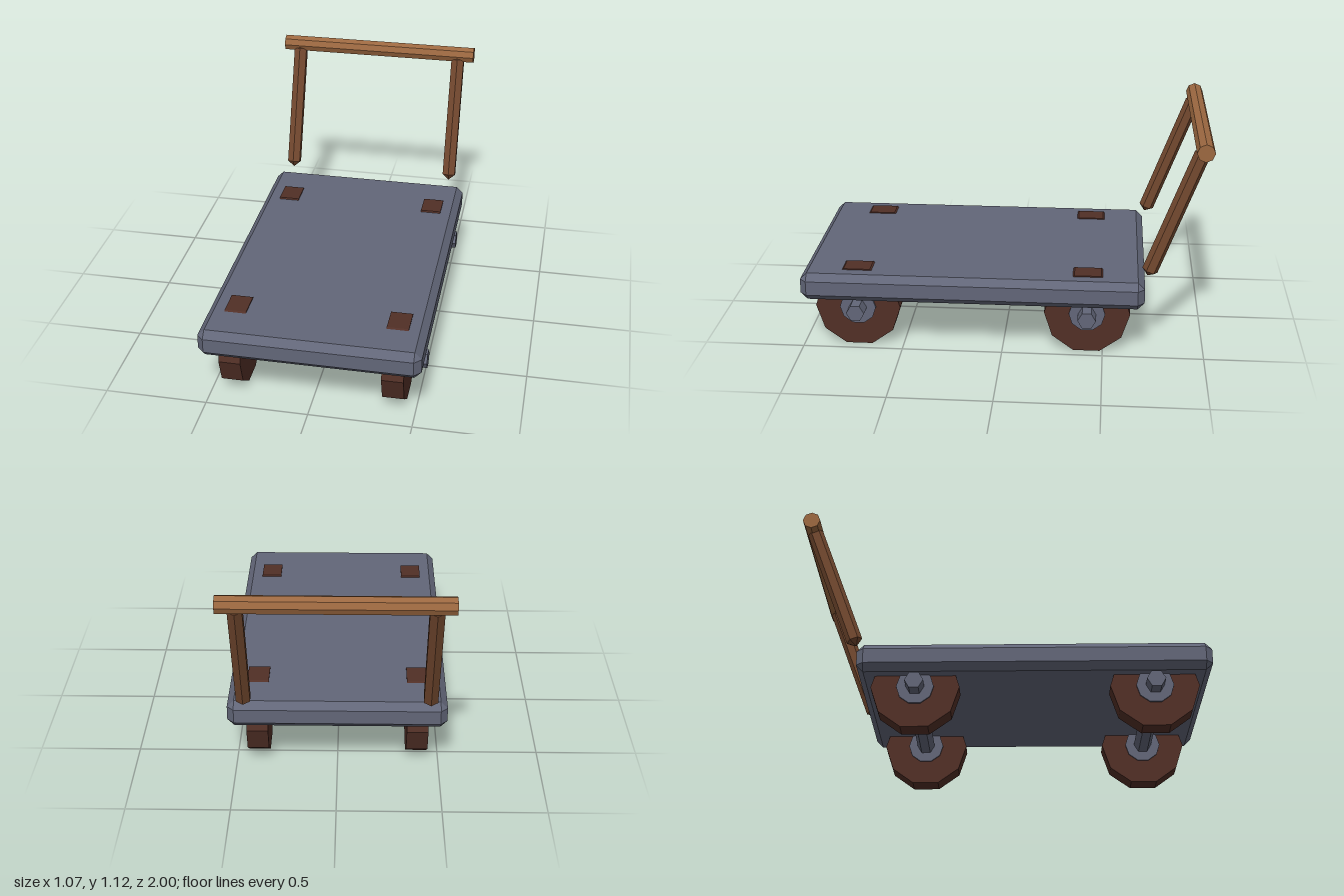
import * as THREE from 'three';
import { ConvexGeometry } from 'three/addons/geometries/ConvexGeometry.js';

const flat = (name, color) => {
  const m = new THREE.MeshStandardMaterial({ color, flatShading: true });
  m.name = name;
  return m;
};

// Box with every edge cut at 45 degrees
function chamferedBox(w, h, d, c) {
  const pts = [];
  for (const sx of [-1, 1]) for (const sy of [-1, 1]) for (const sz of [-1, 1]) {
    for (let axis = 0; axis < 3; axis++) {
      const half = [w / 2 - c, h / 2 - c, d / 2 - c];
      half[axis] += c;
      pts.push(new THREE.Vector3(sx * half[0], sy * half[1], sz * half[2]));
    }
  }
  return new ConvexGeometry(pts);
}

// Faceted rod lying along x
const rodX = (radius, length, sides) =>
  new THREE.CylinderGeometry(radius, radius, length, sides).rotateZ(Math.PI / 2);

export function createModel() {
  const group = new THREE.Group();
  const metal = flat('slate metal', 0x626678);
  const tyre = flat('dark brown tyre', 0x512f26);
  const postWood = flat('brown wood', 0x74492f);
  const barWood = flat('light wood', 0x9c6840);

  const add = (name, geometry, material, x, y, z) => {
    const mesh = new THREE.Mesh(geometry, material);
    mesh.name = name;
    mesh.position.set(x, y, z);
    group.add(mesh);
    return mesh;
  };

  // Flat load bed
  add('deck', chamferedBox(1.066, 0.14, 1.7, 0.034), metal, 0, 0.33, 0.15);

  // Axles with wheels and hubs
  const axleY = 0.203;
  const axle = rodX(0.045, 1.066, 6);
  const wheel = rodX(0.213, 0.106, 10);
  const hub = rodX(0.09, 0.124, 10);
  for (const [end, z] of [['front', 0.725], ['back', -0.42]]) {
    add(end + 'Axle', axle, metal, 0, axleY, z);
    for (const [side, s] of [['Left', 1], ['Right', -1]]) {
      add(end + side + 'Wheel', wheel, tyre, s * 0.393, axleY, z);
      add(end + side + 'Hub', hub, metal, s * 0.393, axleY, z);
    }
  }

  // Leaning handle posts with pointed ends
  const foot = new THREE.Vector2(-0.71, 0.42);
  const top = new THREE.Vector2(-0.956, 1.079);
  const length = foot.distanceTo(top);
  const r = 0.039, tip = 0.03;
  const post = new THREE.LatheGeometry([
    new THREE.Vector2(0, 0),
    new THREE.Vector2(r, tip),
    new THREE.Vector2(r, length - tip),
    new THREE.Vector2(0, length),
  ], 6);
  for (const [side, s] of [['left', 1], ['right', -1]]) {
    const mesh = add(side + 'HandlePost', post, postWood, s * 0.446, foot.y, foot.x);
    mesh.rotation.x = Math.atan2(top.x - foot.x, top.y - foot.y);
  }

  // Push bar
  add('handleBar', rodX(0.0435, 1.066, 8), barWood, 0, top.y, top.x);

  return group;
}
